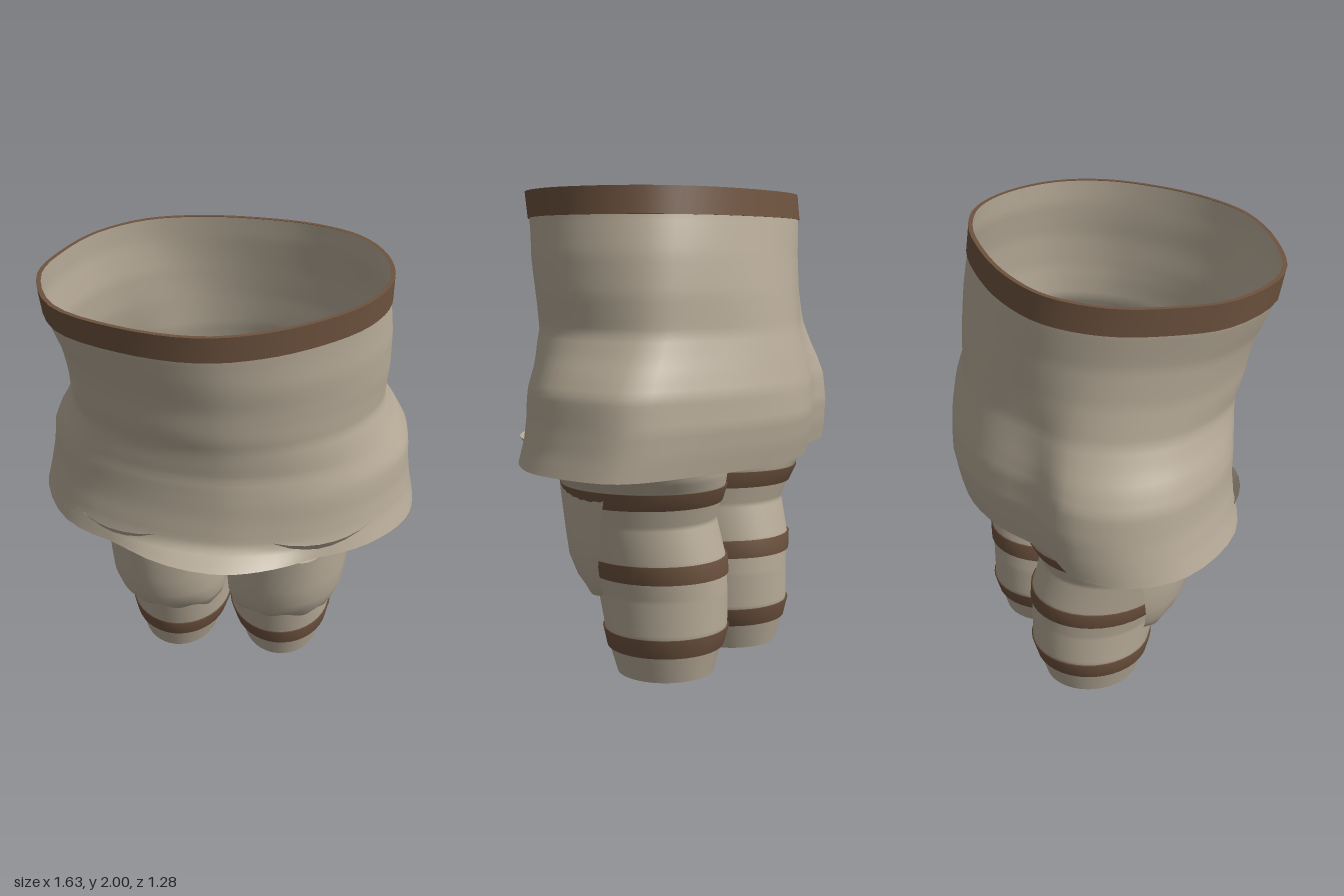
import * as THREE from 'three';

const cloth = new THREE.MeshStandardMaterial({ color: 0xb7ab98, side: THREE.DoubleSide });
cloth.name = 'linen';
const leather = new THREE.MeshStandardMaterial({ color: 0x6e533f, side: THREE.DoubleSide });
leather.name = 'brownLeather';

// Skin a surface over rings of [x, y, z] points, listed bottom to top
function loft(name, rings, material, closed = true) {
  const n = rings[0].length, index = [];
  for (let i = 0; i < rings.length - 1; i++) {
    for (let j = 0; j < (closed ? n : n - 1); j++) {
      const k = (j + 1) % n;
      const a = i * n + j, b = i * n + k, c = b + n, d = a + n;
      index.push(a, b, c, a, c, d);
    }
  }
  const geo = new THREE.BufferGeometry();
  geo.setAttribute('position', new THREE.Float32BufferAttribute(rings.flat(2), 3));
  geo.setIndex(index);
  geo.computeVertexNormals();
  const mesh = new THREE.Mesh(geo, material);
  mesh.name = name;
  return mesh;
}

// Interpolate a table of [y, xMin, xMax, zFront, zBack] at a height
function sample(table, y) {
  let i = 0;
  while (i < table.length - 2 && y > table[i + 1][0]) i++;
  const t = THREE.MathUtils.clamp((y - table[i][0]) / (table[i + 1][0] - table[i][0]), 0, 1);
  return table[i].map((v, k) => v + (table[i + 1][k] - v) * t);
}

// Plan outlines of the tunic, from the front round by +x
const WAIST = [[-.03, .635], [.19, .575], [.39, .45], [.555, .28], [.635, .08], [.61, -.15], [.5, -.33], [.32, -.43],
  [.08, -.47], [-.17, -.465], [-.39, -.4], [-.565, -.24], [-.66, -.03], [-.695, .19], [-.58, .455], [-.32, .59]];
const HEM = [[0, .495], [.2, .475], [.42, .415], [.62, .3], [.78, .1], [.81, -.1], [.755, -.335], [.46, -.49],
  [.06, -.61], [-.2, -.575], [-.44, -.46], [-.64, -.42], [-.79, -.25], [-.82, -.02], [-.66, .29], [-.36, .44]];

const TUNIC = [
  [.915, -.82, .81, .5, -.6], [1, -.8, .79, .485, -.62], [1.1, -.78, .775, .48, -.635],
  [1.22, -.765, .765, .475, -.625], [1.3, -.73, .725, .48, -.605], [1.36, -.695, .69, .495, -.59],
  [1.45, -.655, .65, .505, -.565], [1.6, -.645, .66, .545, -.54], [1.75, -.655, .655, .58, -.51],
  [1.9, -.69, .635, .62, -.48], [2, -.695, .635, .635, -.465],
];

const LEG = [
  [0, .07, .43, .05, -.38], [.12, .03, .46, .09, -.41], [.2, .005, .475, .11, -.43], [.35, 0, .475, .15, -.43],
  [.5, 0, .5, .2, -.425], [.65, 0, .52, .25, -.385], [.75, 0, .54, .285, -.415], [.8, 0, .555, .305, -.44],
  [.85, -.01, .6, .34, -.455], [.92, -.04, .66, .41, -.465], [1, -.08, .7, .465, -.465],
];

const PAD = [
  [.355, .04, .465, .14, -.02], [.36, .02, .48, .18, -.02], [.42, .005, .51, .235, -.03], [.5, 0, .535, .272, -.04],
  [.6, 0, .545, .29, -.055], [.7, 0, .55, .308, -.07], [.79, .005, .555, .322, -.09],
];

const box = pts => {
  const xs = pts.map(p => p[0]), zs = pts.map(p => p[1]);
  return [Math.min(...xs), Math.max(...xs), Math.max(...zs), Math.min(...zs)];
};

const smoothLoop = pts => new THREE.CatmullRomCurve3(pts.map(p => new THREE.Vector3(p[0], 0, p[1])), true)
  .getPoints(64).slice(0, 64).map(v => [v.x, v.z]);

// Outline stretched to the unit square
function normalised(pts) {
  const loop = smoothLoop(pts), [x0, x1, z1, z0] = box(loop);
  return loop.map(([x, z]) => [2 * (x - x0) / (x1 - x0) - 1, 2 * (z - z0) / (z1 - z0) - 1]);
}
const waistLoop = normalised(WAIST), hemLoop = normalised(HEM);

function tunicRing(y, grow = 0) {
  const [, x0, x1, zf, zb] = sample(TUNIC, y);
  const t = THREE.MathUtils.smoothstep(2 - y, 0.05, 0.9);
  // Faint drapery folds across the front, and a small lip at the centre of the hem
  const fold = Math.max(0, Math.sin((y - 1) / 0.9 * Math.PI)) * 0.005;
  const lip = 0.08 * Math.max(0, (0.97 - y) / 0.055);
  return hemLoop.map(([hx, hz], j) => {
    const u = THREE.MathUtils.lerp(waistLoop[j][0], hx, t), w = THREE.MathUtils.lerp(waistLoop[j][1], hz, t);
    const ripple = fold * Math.max(0, w) * Math.sin(y * 22 + 1.5 * u) + grow;
    const flare = w > 0 ? lip * Math.max(0, 1 - (u / 0.5) ** 2) : 0;
    return [(x0 + x1) / 2 + u * ((x1 - x0) / 2 + ripple), y,
      (zf + zb) / 2 + w * ((zf - zb) / 2 + ripple) + flare];
  });
}

// Oval leg section, slightly higher at the back
function legRing(y, grow = 0) {
  const [, x0, x1, zf, zb] = sample(LEG, y), n = 40;
  return Array.from({ length: n }, (_, j) => {
    const a = j / n * Math.PI * 2;
    return [(x0 + x1) / 2 + Math.sin(a) * ((x1 - x0) / 2 + grow),
      y + 0.015 * (1 - Math.cos(a)),
      (zf + zb) / 2 + Math.cos(a) * ((zf - zb) / 2 + grow)];
  });
}

function legBand(name, low, high) {
  return loft(name, [legRing(low, .001), legRing(low, .009), legRing(high, .009), legRing(high, .001)], leather);
}

// Half shell over the front of the thigh, fuller on the inner side, closed at the top
function thighPad() {
  const n = 32;
  const rings = PAD.map(([y, x0, x1, zf, zb], i) => Array.from({ length: n + 1 }, (_, j) => {
    const a = (j / n - 0.5) * Math.PI;
    const scallop = i < 2 ? 0.008 * Math.sin(a * 9) : i === PAD.length - 1 ? 0.01 * Math.cos(a * 8) : 0;
    const depth = Math.pow(Math.max(0, Math.cos(a)), a < 0 ? 0.7 : 1);
    return [(x0 + x1) / 2 + Math.sin(a) * (x1 - x0) / 2, y + scallop, zb + (zf - zb) * depth];
  }));
  const rim = rings[rings.length - 1];
  const pad = new THREE.Group();
  pad.name = 'thighPad';
  pad.add(loft('padShell', rings, cloth, false));
  // Gently domed lid hidden inside the leg
  pad.add(loft('padTop', [1, 0.75, 0.4, 0].map(s => rim.map(([x, y, z]) =>
    [.28 + (x - .28) * s, THREE.MathUtils.lerp(.8, y, s * s) + 0.02 * (1 - s * s), -.09 + (z + .09) * s])), cloth, false));
  return pad;
}

export function createModel() {
  const model = new THREE.Group();
  model.name = 'draperyOutfit';

  // Draped tunic, open at both ends
  const rows = [.915, .935, .955, .97];
  for (let i = 0; i <= 40; i++) rows.push(1 + i * 0.02485);
  model.add(loft('tunic', rows.map(y => tunicRing(y)), cloth));

  // Belt around the top edge
  model.add(loft('waistBand', [tunicRing(1.895), tunicRing(1.895, .007)], leather));
  model.add(loft('waistBandFace', [tunicRing(1.895, .007), tunicRing(2, .007)], leather));
  model.add(loft('waistBandRim', [tunicRing(2, .007), tunicRing(2, -.01)], leather));

  // Trouser legs with wrapped bands and thigh pads
  for (const side of [1, -1]) {
    const leg = new THREE.Group();
    leg.name = side > 0 ? 'leftLeg' : 'rightLeg';
    const legRows = Array.from({ length: 101 }, (_, i) => i / 100);
    leg.add(loft('trouserLeg', legRows.map(y => legRing(y)), cloth));
    leg.add(legBand('thighBand', .73, .8));
    leg.add(legBand('kneeBand', .425, .5));
    leg.add(legBand('ankleBand', .115, .195));
    leg.add(thighPad());
    leg.scale.x = side;
    model.add(leg);
  }
  return model;
}
